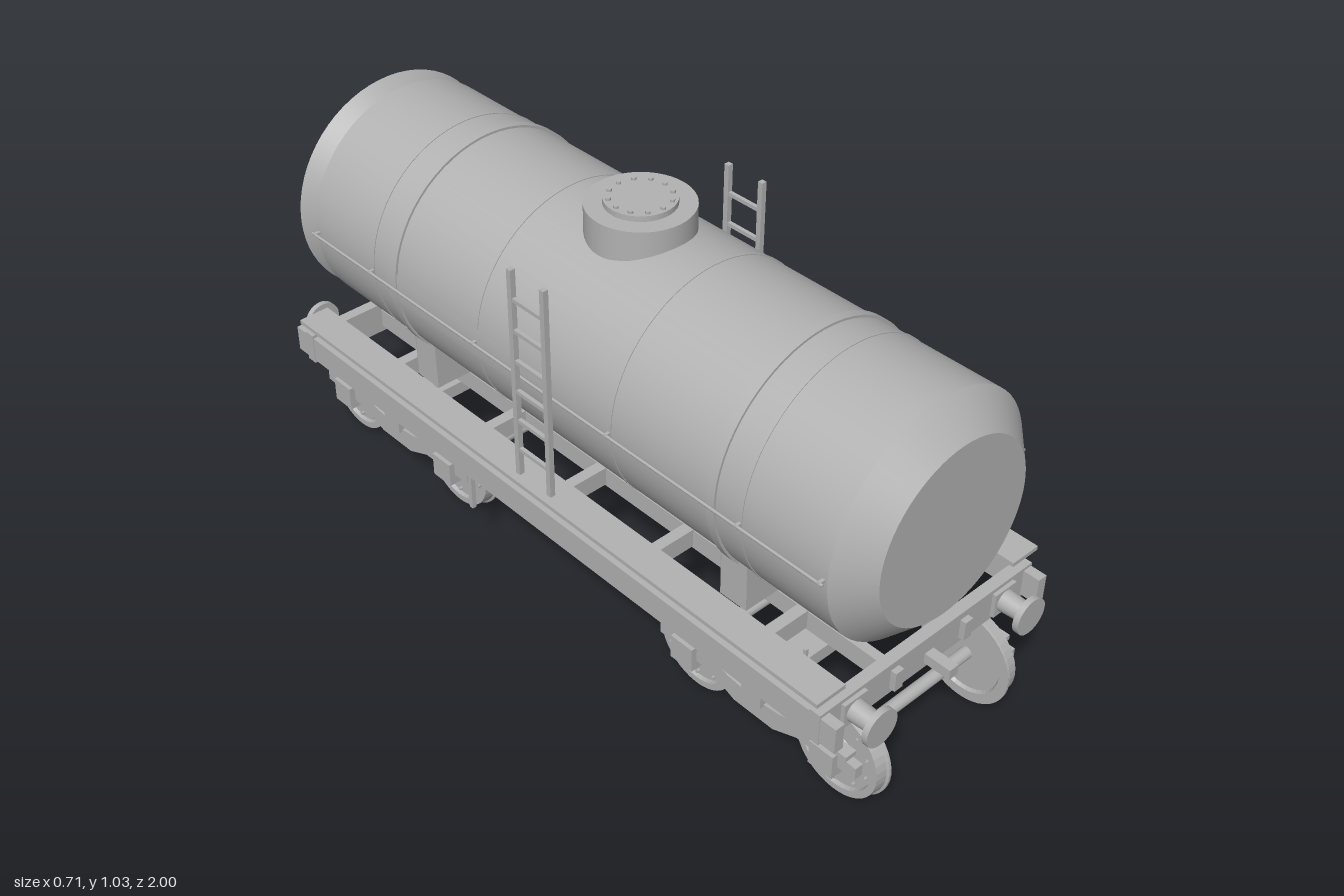
import * as THREE from 'three';

const steel = new THREE.MeshStandardMaterial({ color: 0xb2b2b2, side: THREE.DoubleSide });
steel.name = 'grey steel';

export function createModel() {
  const model = new THREE.Group();
  model.name = 'tankWagon';

  function add(name, geo, parent = model) {
    const mesh = new THREE.Mesh(geo, steel);
    mesh.name = name;
    parent.add(mesh);
    return mesh;
  }
  // box given by its limits on each axis
  function box(name, x0, x1, y0, y1, z0, z1, parent) {
    const g = new THREE.BoxGeometry(x1 - x0, y1 - y0, z1 - z0);
    return add(name, g.translate((x0 + x1) / 2, (y0 + y1) / 2, (z0 + z1) / 2), parent);
  }
  // cylinder along z; r0 is the radius at z0, r1 at z1
  function tubeZ(name, x, y, z0, z1, r0, r1 = r0, seg = 32, parent) {
    const g = new THREE.CylinderGeometry(r1, r0, z1 - z0, seg).rotateX(Math.PI / 2);
    return add(name, g.translate(x, y, (z0 + z1) / 2), parent);
  }
  function tubeX(name, x0, x1, y, z, r, seg = 32, parent) {
    const g = new THREE.CylinderGeometry(r, r, x1 - x0, seg).rotateZ(Math.PI / 2);
    return add(name, g.translate((x0 + x1) / 2, y, z), parent);
  }
  function tubeY(name, x, z, y0, y1, r, seg = 32) {
    const g = new THREE.CylinderGeometry(r, r, y1 - y0, seg);
    return add(name, g.translate(x, (y0 + y1) / 2, z));
  }

  // Tank barrel with a tapered front end and a flared back end
  const cy = 0.655, R = 0.3;
  tubeZ('tankBarrel', 0, cy, -0.87, 0.87, R, R, 64);
  tubeZ('frontTankEnd', 0, cy, 0.87, 0.94, R, 0.225, 64);
  tubeZ('backTankEnd', 0, cy, -0.94, -0.87, R, 0.225, 64);
  for (const z of [-0.545, 0.545]) tubeZ('tankStrap', 0, cy, z - 0.012, z + 0.012, 0.306, 0.306, 64);
  for (const z of [-0.63, -0.23, 0.23, 0.63]) tubeZ('tankSeam', 0, cy, z - 0.004, z + 0.004, 0.302, 0.302, 64);

  // Filling dome, lid and lid bolts
  tubeY('dome', 0, 0, 0.92, 1.01, 0.128, 48);
  tubeY('domeLid', 0, 0, 1.01, 1.024, 0.085, 40);
  for (let i = 0; i < 12; i++) {
    const a = (i * Math.PI) / 6;
    tubeY('lidBolt', 0.073 * Math.cos(a), 0.073 * Math.sin(a), 1.024, 1.03, 0.006, 8);
  }

  for (const s of [-1, 1]) {
    // Hand rail and its brackets
    tubeZ('handRail', s * 0.313, cy, -0.87, 0.87, 0.004, 0.004, 8);
    for (const z of [-0.86, -0.63, -0.23, 0.23, 0.63, 0.86])
      box('railBracket', s * 0.306 - 0.01, s * 0.306 + 0.01, cy - 0.004, cy + 0.004, z - 0.004, z + 0.004);

    // Curved side panel
    const panel = new THREE.CylinderGeometry(0.303, 0.303, 0.46, 8, 1, true, -0.133, 0.266);
    panel.rotateX(Math.PI / 2).rotateZ(s > 0 ? Math.PI / 2 : -Math.PI / 2);
    add('sidePanel', panel.translate(0, cy - 0.005, -0.34));

    // Ladder
    for (const z of [-0.055, 0.055])
      box('ladderRail', s * 0.328 - 0.007, s * 0.328 + 0.007, 0.385, 0.953, z - 0.007, z + 0.007);
    for (let i = 0; i < 6; i++)
      box('ladderRung', s * 0.328 - 0.005, s * 0.328 + 0.005, 0.456 + i * 0.083, 0.466 + i * 0.083, -0.05, 0.05);

    // Walkway, side sill, centre sill and hanging rod
    box('walkway', s * 0.3125 - 0.0425, s * 0.3125 + 0.0425, 0.376, 0.387, -0.915, 0.915);
    box('sideSill', s * 0.328 - 0.013, s * 0.328 + 0.013, 0.267, 0.337, -0.958, 0.958);
    box('centreSill', s * 0.1125 - 0.0125, s * 0.1125 + 0.0125, 0.275, 0.327, -0.93, 0.93);
    box('hangingRod', s * 0.328 - 0.006, s * 0.328 + 0.006, 0.16, 0.27, s * 0.25 - 0.006, s * 0.25 + 0.006);
  }

  // Underframe cross beams and tank saddles
  for (const z of [-0.66, -0.3, 0, 0.3, 0.66]) box('crossBeam', -0.32, 0.32, 0.28, 0.33, z - 0.015, z + 0.015);
  box('centreSupport', -0.12, 0.12, 0.32, 0.37, -0.028, 0.028);
  for (const z of [-0.545, 0.545]) {
    const saddle = new THREE.Shape();
    saddle.moveTo(-0.225, 0.33);
    saddle.lineTo(0.225, 0.33);
    saddle.lineTo(0.225, 0.46);
    saddle.absarc(0, cy, R, -0.71, -Math.PI + 0.71, true);
    saddle.lineTo(-0.225, 0.46);
    add('tankSaddle', new THREE.ExtrudeGeometry(saddle, { depth: 0.08, bevelEnabled: false, curveSegments: 16 })
      .translate(0, 0, z - 0.04));
  }

  // End beams, buffers and couplers
  for (const e of [-1, 1]) {
    const end = new THREE.Group();
    end.name = e > 0 ? 'frontEnd' : 'backEnd';
    end.rotation.y = e > 0 ? 0 : Math.PI;
    model.add(end);
    box('endBeam', -0.343, 0.343, 0.26, 0.345, 0.885, 0.915, end);
    box('couplerHook', -0.014, 0.014, 0.275, 0.302, 0.91, 0.985, end);
    for (const x of [-0.243, 0.243]) {
      box('bufferBase', x - 0.035, x + 0.035, 0.27, 0.335, 0.91, 0.925, end);
      tubeZ('bufferShank', x, 0.302, 0.92, 0.985, 0.028, 0.024, 20, end);
      tubeZ('bufferHead', x, 0.302, 0.983, 0.998, 0.047, 0.047, 32, end);
    }
  }

  // Air reservoir
  tubeZ('airReservoir', 0.155, 0.222, -0.245, 0.245, 0.043);
  for (const z of [-0.235, 0.235])
    box('reservoirHanger', 0.15, 0.16, 0.22, 0.3, z - 0.005, z + 0.005);

  // Wheel profile: flange on the inner side, tread outside, recessed web
  const profile = [[0, 0.008], [0.095, 0.008], [0.1, 0], [0.126, 0], [0.126, 0.006], [0.12, 0.009],
    [0.117, 0.037], [0.1, 0.037], [0.097, 0.027], [0.04, 0.027], [0.036, 0.037], [0, 0.037]];
  const wheelGeo = new THREE.LatheGeometry(profile.map(p => new THREE.Vector2(...p)), 40)
    .toNonIndexed();
  wheelGeo.computeVertexNormals();

  // Side frame outline, first number along z
  const frame = new THREE.Shape([[-0.3, 0.13], [-0.3, 0.162], [-0.13, 0.168], [-0.08, 0.152], [0, 0.143], [0.08, 0.152],
    [0.13, 0.168], [0.3, 0.162], [0.3, 0.13], [0.13, 0.122], [0.06, 0.093], [-0.06, 0.093], [-0.13, 0.122]]
    .map(p => new THREE.Vector2(...p)));
  const frameGeo = new THREE.ExtrudeGeometry(frame, { depth: 0.022, bevelEnabled: false })
    .rotateY(-Math.PI / 2).translate(0.011, 0, 0);

  // Two bogies
  for (const bz of [-0.657, 0.657]) {
    const bogie = new THREE.Group();
    bogie.name = bz > 0 ? 'frontBogie' : 'backBogie';
    bogie.position.z = bz;
    model.add(bogie);
    box('bolster', -0.265, 0.265, 0.177, 0.213, -0.042, 0.042, bogie);
    tubeY('bogiePivot', 0, bz, 0.21, 0.285, 0.04, 20);
    for (const s of [-1, 1]) {
      add('sideFrame', frameGeo, bogie).position.x = s * 0.253;
      box('bolsterSpring', s * 0.257 - 0.018, s * 0.257 + 0.018, 0.14, 0.208, -0.03, 0.03, bogie);
      box('brakeRod', s * 0.17 - 0.004, s * 0.17 + 0.004, 0.165, 0.275, 0.055, 0.063, bogie);
    }
    for (const wz of [-0.215, 0.215]) {
      tubeX('axle', -0.25, 0.25, 0.13, wz, 0.016, 20, bogie);
      for (const s of [-1, 1]) {
        const wheel = add('wheel', wheelGeo, bogie);
        wheel.rotation.z = -s * Math.PI / 2;
        wheel.position.set(s * 0.194, 0.126, wz);
        for (let i = 0; i < 10; i++) {
          const a = (i * Math.PI) / 5;
          tubeX('wheelBolt', s * 0.224 - 0.005, s * 0.224 + 0.005,
            0.126 + 0.085 * Math.cos(a), wz + 0.085 * Math.sin(a), 0.005, 6, bogie);
        }
        box('axleBox', s * 0.262 - 0.018, s * 0.262 + 0.018, 0.1, 0.166, wz - 0.034, wz + 0.034, bogie);
        box('axleBoxFoot', s * 0.257 - 0.012, s * 0.257 + 0.012, 0.085, 0.1, wz - 0.012, wz + 0.012, bogie);
        box('springPlate', s * 0.255 - 0.016, s * 0.255 + 0.016, 0.17, 0.183, wz - 0.062, wz + 0.062, bogie);
      }
    }
  }
  return model;
}
